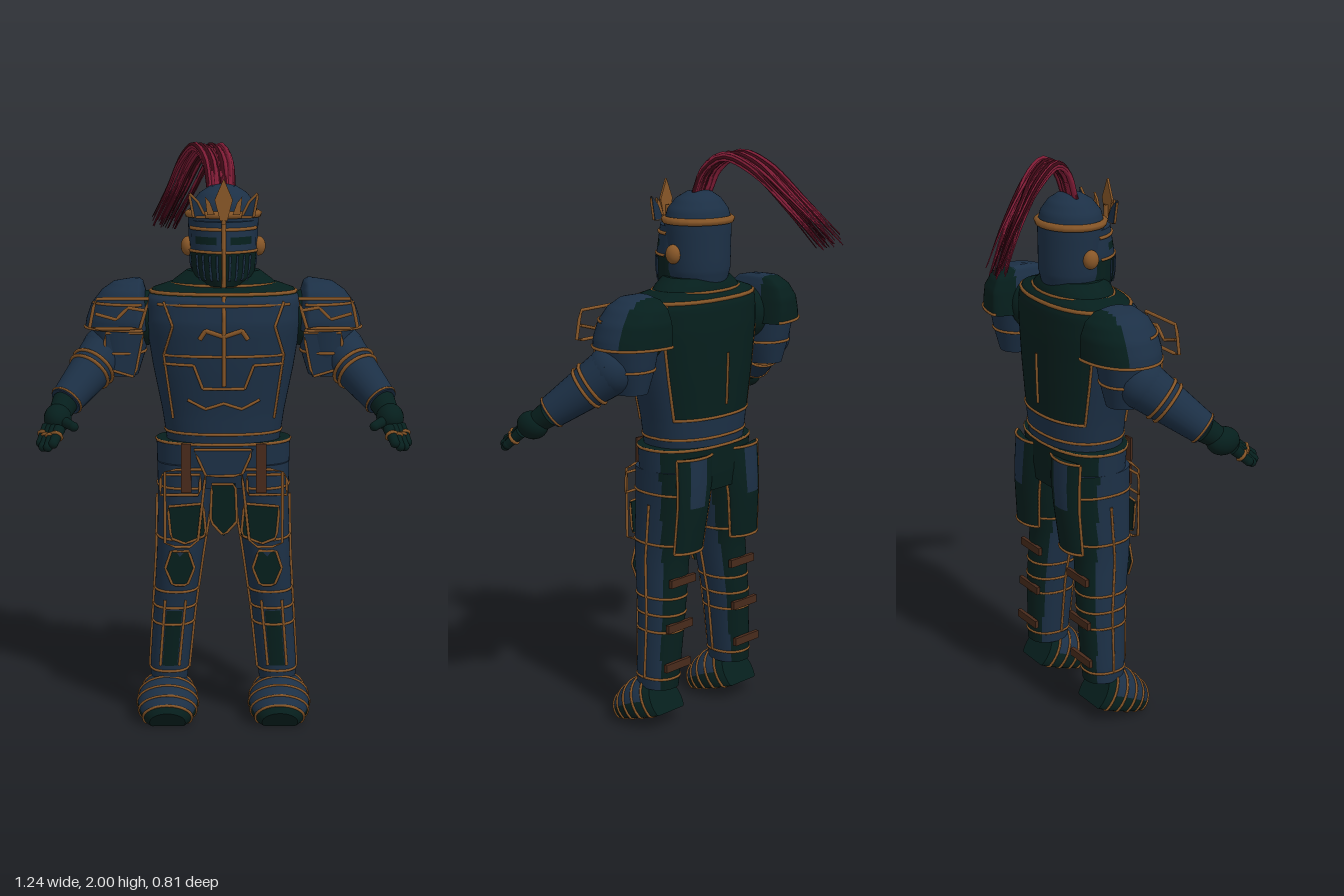
import * as THREE from 'three';

const mat = (name, color) => Object.assign(new THREE.MeshStandardMaterial({ color, side: THREE.DoubleSide }), { name });
const V = (x, y, z) => new THREE.Vector3(x, y, z);

export function createModel() {
  const model = new THREE.Group();
  const blue = mat('steel blue', 0x1c3046), green = mat('dark green', 0x061f1d), gold = mat('old gold', 0x885728);
  const brown = mat('leather brown', 0x482a1b), red = mat('crimson', 0x841d38), maroon = mat('dark maroon', 0x3e0916);

  const add = (name, geo, material) => {
    const mesh = new THREE.Mesh(geo, material);
    mesh.name = name;
    model.add(mesh);
    return mesh;
  };

  // Skin closed rings of points; pick() chooses blue (0) or green (1) per face
  function skin(name, rings, pick = () => 0, flip = false) {
    const n = rings[0].length, pos = [], faces = [[], []];
    rings.forEach(r => r.forEach(p => pos.push(p.x, p.y, p.z)));
    const tri = (k, a, b, c) => faces[k].push(a, flip ? c : b, flip ? b : c);
    for (let i = 0; i < rings.length - 1; i++) for (let j = 0; j < n; j++) {
      const a = i * n + j, b = i * n + (j + 1) % n;
      const mid = rings[i][j].clone().add(rings[i + 1][(j + 1) % n]).multiplyScalar(0.5);
      const k = pick(mid, (j + 0.5) / n * Math.PI * 2, i) ? 1 : 0;
      tri(k, a, b, b + n);
      tri(k, a, b + n, a + n);
    }
    [0, rings.length - 1].forEach(i => {
      const c = rings[i].reduce((s, p) => s.add(p), V(0, 0, 0)).divideScalar(n), base = pos.length / 3;
      [...rings[i], c].forEach(p => pos.push(p.x, p.y, p.z));
      const k = pick(c, Math.PI, i) ? 1 : 0;
      for (let j = 0; j < n; j++) {
        const a = base + j, b = base + (j + 1) % n;
        i ? tri(k, a, b, base + n) : tri(k, b, a, base + n);
      }
    });
    const g = new THREE.BufferGeometry();
    g.setAttribute('position', new THREE.Float32BufferAttribute(pos, 3));
    g.setIndex([...faces[0], ...faces[1]]);
    g.addGroup(0, faces[0].length, 0);
    g.addGroup(faces[0].length, faces[1].length, 1);
    g.computeVertexNormals();
    add(name, g, [blue, green]);
  }

  // A body profile is rows of [y, centre x, half width, half depth, centre z]
  const body = (rows, e = 1, s = 1, inner = 1) => ({ rows, e, s, inner });
  function rowAt(b, y) {
    const r = b.rows;
    let i = 0;
    while (i < r.length - 2 && y > r[i + 1][0]) i++;
    const t = THREE.MathUtils.clamp((y - r[i][0]) / (r[i + 1][0] - r[i][0]), 0, 1);
    return r[i].map((v, k) => v + (r[i + 1][k] - v) * t);
  }
  function surf(b, a, y, off = 0) {
    const [, cx, rx, rz, cz] = rowAt(b, y), sn = Math.sin(a), cs = Math.cos(a);
    const w = (rx + off) * (sn < 0 ? b.inner : 1);
    return V(b.s * (cx + w * Math.sign(sn) * Math.abs(sn) ** b.e), y, cz + (rz + off) * Math.sign(cs) * Math.abs(cs) ** b.e);
  }
  function loft(name, b, pick, n = 48) {
    const ys = [];
    b.rows.forEach((r, i) => {
      const next = b.rows[i + 1];
      for (let k = 0; k < (next ? 4 : 1); k++) ys.push(next ? r[0] + (next[0] - r[0]) * k / 4 : r[0]);
    });
    const rings = ys.map(y => Array.from({ length: n }, (_, j) => surf(b, j / n * Math.PI * 2, y)));
    skin(name, rings, pick, b.s < 0);
  }

  // Trim lines, free or following a body
  const line = (name, pts, r = 0.005, material = gold, closed = false) => add(name, new THREE.TubeGeometry(
    new THREE.CatmullRomCurve3(pts, closed, 'catmullrom', 0), pts.length * 4, r, 5, closed), material);
  function ring(name, b, y, r = 0.005, off = 0.001, from = 0, to = Math.PI * 2) {
    const closed = to - from > 6.2;
    line(name, Array.from({ length: 25 - closed }, (_, i) => surf(b, from + (to - from) * i / 24, y, off)), r, gold, closed);
  }
  function drape(name, b, pts, back = false, r = 0.005) {
    const out = [];
    pts.forEach(([x, y], i) => {
      const [x2, y2] = pts[i + 1] || [x, y];
      for (let k = 0; k < (pts[i + 1] ? 5 : 1); k++) {
        const px = x + (x2 - x) * k / 5, py = y + (y2 - y) * k / 5, [, cx, rx] = rowAt(b, py);
        const q = THREE.MathUtils.clamp((px - cx) / rx, -1, 1);
        const a = Math.asin(Math.sign(q) * Math.abs(q) ** (1 / b.e));
        out.push(surf(b, back ? Math.PI - a : a, py, 0.002));
      }
    });
    line(name, out, r);
  }
  // Thin flat plate with an optional gold edge
  function plate(name, pts, z, material, s = 1, edge = true) {
    const p = pts.map(([x, y]) => new THREE.Vector2(x * s, y));
    add(name, new THREE.ExtrudeGeometry(new THREE.Shape(p), { depth: 0.008, bevelEnabled: false }), material).position.z = z;
    if (edge) line(name + 'Edge', p.map(q => V(q.x, q.y, z + 0.006)), 0.005, gold, true);
  }
  const frame = (name, pts, z, s, r, closed = true) => line(name, pts.map(([x, y]) => V(s * x, y, z)), r, gold, closed);
  function limb(name, a, b, r0, r1, material) {
    const m = add(name, new THREE.CylinderGeometry(r1, r0, a.distanceTo(b), 24), material);
    m.position.copy(a).lerp(b, 0.5);
    m.quaternion.setFromUnitVectors(V(0, 1, 0), b.clone().sub(a).normalize());
  }
  function cuff(name, a, b, t, r, tube) {
    const m = add(name, new THREE.TorusGeometry(r, tube, 6, 24), gold);
    m.position.copy(a).lerp(b, t);
    m.quaternion.setFromUnitVectors(V(0, 0, 1), b.clone().sub(a).normalize());
  }
  function ball(name, p, sx, sy, sz, material) {
    const m = add(name, new THREE.SphereGeometry(1, 20, 14), material);
    m.position.copy(p);
    m.scale.set(sx, sy, sz);
  }

  // Cuirass with a green back panel
  const torso = body([[1.0, 0, 0.195, 0.14, 0.045], [1.1, 0, 0.21, 0.147, 0.045], [1.25, 0, 0.24, 0.16, 0.052],
    [1.4, 0, 0.264, 0.168, 0.057], [1.48, 0, 0.262, 0.16, 0.052], [1.515, 0, 0.24, 0.138, 0.04], [1.535, 0, 0.18, 0.1, 0.03]], 0.88);
  loft('cuirass', torso, (p, a) => p.y > 1.5 || (Math.cos(a) < -0.48 && p.y > 1.1), 64);
  ring('collarTrim', torso, 1.505, 0.007);
  ring('waistTrim', torso, 1.03);
  ring('backTrim', torso, 1.1, 0.005, 0.001, 2.05, 4.23);
  drape('chestLine', torso, [[-0.2, 1.3], [0.2, 1.3]]);
  drape('upperChestLine', torso, [[-0.22, 1.47], [0.22, 1.47]]);
  drape('breastPanel', torso, [[-0.2, 1.27], [-0.1, 1.27], [-0.07, 1.19], [0.07, 1.19], [0.1, 1.27], [0.2, 1.27]]);
  drape('bellyLine', torso, [[-0.12, 1.15], [-0.06, 1.12], [0, 1.14], [0.06, 1.12], [0.12, 1.15]]);
  drape('crossBar', torso, [[-0.08, 1.36], [-0.06, 1.39], [0, 1.37], [0.06, 1.39], [0.08, 1.36]], false, 0.008);
  drape('crossPost', torso, [[0, 1.2], [0, 1.5]], false, 0.008);
  drape('spineLine', torso, [[0, 1.14], [0, 1.32]], true);
  for (const s of [-1, 1]) {
    drape('breastEdge', torso, [[s * 0.2, 1.48], [s * 0.17, 1.4], [s * 0.2, 1.3], [s * 0.17, 1.08]]);
    line('backEdge', [1.5, 1.4, 1.25, 1.1].map(y => surf(torso, Math.PI - s * 1.07, y, 0.001)));
  }

  // Gorget and neck
  const gorget = body([[1.5, 0, 0.21, 0.125, 0.035], [1.545, 0, 0.165, 0.115, 0.035], [1.575, 0, 0.125, 0.1, 0.035]]);
  loft('gorget', gorget, () => true);
  ring('gorgetTrim', gorget, 1.53);

  // Helmet
  const helmet = body([[1.54, 0, 0.1, 0.1, 0.03], [1.6, 0, 0.115, 0.108, 0.025], [1.76, 0, 0.12, 0.11, 0.025],
    [1.8, 0, 0.108, 0.1, 0.025], [1.835, 0, 0.08, 0.075, 0.023], [1.857, 0, 0.045, 0.042, 0.02], [1.865, 0, 0.003, 0.003, 0.02]]);
  loft('helmet', helmet);
  ring('helmetBand', helmet, 1.765, 0.013);
  const visor = body([[1.53, 0, 0.075, 0.105, 0.075], [1.56, 0, 0.105, 0.115, 0.072], [1.645, 0, 0.112, 0.118, 0.068], [1.745, 0, 0.108, 0.108, 0.06]], 1.15);
  loft('visor', visor, (p, a) => p.y < 1.645 || (p.y > 1.668 && p.y < 1.7 && Math.abs(Math.abs(p.x) - 0.055) < 0.035 && Math.cos(a) > 0));
  ring('visorTrim', visor, 1.645, 0.005, 0.001, -1.5, 1.5);
  ring('eyeTrim', visor, 1.72, 0.006, 0.001, -1.5, 1.5);
  drape('visorRidge', visor, [[0, 1.53], [0, 1.74]], false, 0.008);
  line('browRidge', [V(0, 1.74, 0.165), V(0, 1.8, 0.165)], 0.008);
  for (const s of [-1, 1]) {
    ball('earBoss', V(s * 0.12, 1.655, 0.03), 0.024, 0.033, 0.028, gold);
    for (let i = 1; i < 5; i++) {
      const a = s * i * 0.24;
      line('visorBar', [1.55, 1.59, 1.635].map(y => surf(visor, a, y, 0.002)), 0.004, blue);
    }
    plate('crestLeaf', [[0.03, 1.77], [0.055, 1.77], [0.062, 1.83], [0.045, 1.81]], 0.155, gold, s, false);
    plate('crestSideLeaf', [[0.06, 1.76], [0.1, 1.76], [0.115, 1.84], [0.085, 1.81]], 0.13, blue, s);
  }
  plate('crestSpade', [[-0.012, 1.75], [0.012, 1.75], [0.03, 1.82], [0, 1.89], [-0.03, 1.82]], 0.168, gold, 1, false);

  // Plume of tapering strands
  let seed = 7;
  const rnd = () => (seed = (seed * 16807) % 2147483647) / 2147483647 - 0.5;
  for (let i = 0; i < 36; i++) {
    const w = rnd(), h = rnd(), l = rnd();
    const curve = new THREE.CatmullRomCurve3([[-0.005 + w * 0.09, 1.85, 0.015], [-0.015 + w * 0.1, 1.935 + h * 0.02, -0.02],
      [-0.045 + w * 0.11, 1.982 + h * 0.024, -0.085], [-0.085 + w * 0.11, 1.945 + h * 0.03, -0.17],
      [-0.145 + w * 0.1, 1.82 + h * 0.03, -0.285 + l * 0.04], [-0.205 + w * 0.09, 1.7 + h * 0.05, -0.375 + l * 0.07]].map(p => V(...p)));
    const geo = new THREE.TubeGeometry(curve, 20, 0.0085, 5), pos = geo.attributes.position, p = V(0, 0, 0);
    for (let k = 0; k < pos.count; k++) {
      const t = Math.floor(k / 6) / 20;
      p.fromBufferAttribute(pos, k).lerp(curve.getPointAt(t), 0.8 * t);
      pos.setXYZ(k, p.x, p.y, p.z);
    }
    add('plumeStrand', geo, i % 3 ? red : maroon);
  }

  // Hip armour
  const hips = body([[0.84, 0, 0.225, 0.125, 0.04], [0.9, 0, 0.228, 0.135, 0.042], [1.0, 0, 0.23, 0.14, 0.045]], 0.85);
  loft('hipArmour', hips, (p, a) => Math.cos(a) < -0.25);
  ring('hipTrim', hips, 0.995);
  plate('loinFlap', [[-0.04, 0.86], [0.04, 0.86], [0.045, 0.73], [0, 0.68], [-0.045, 0.73]], 0.178, green);
  plate('beltPlate', [[-0.1, 0.98], [0.1, 0.98], [0.06, 0.89], [-0.06, 0.89]], 0.184, blue);

  for (const s of [-1, 1]) {
    // Pauldron and upper arm guard
    ball('shoulderJoint', V(s * 0.265, 1.41, 0.03), 0.06, 0.095, 0.085, green);
    const guard = body([[1.22, 0.35, 0.06, 0.085, 0.04], [1.3, 0.35, 0.085, 0.1, 0.035], [1.385, 0.35, 0.1, 0.11, 0.03]], 0.9, s);
    loft('upperArmGuard', guard);
    ring('guardTrim', guard, 1.3);
    const pauldron = body([[1.375, 0.29, 0.183, 0.135, 0.02], [1.41, 0.29, 0.177, 0.136, 0.02], [1.46, 0.29, 0.16, 0.13, 0.015],
      [1.505, 0.29, 0.125, 0.11, 0.012], [1.533, 0.29, 0.085, 0.075, 0.01], [1.545, 0.29, 0.02, 0.02, 0.01]], 0.94, s, 0.2);
    loft('pauldron', pauldron, p => p.z < -0.035);
    ring('pauldronTrim', pauldron, 1.38, 0.005, 0.001, -0.4, 3.5);
    ring('pauldronRidge', pauldron, 1.465, 0.005, 0.001, -0.4, 1.3);
    frame('shoulderFrame', [[0.25, 1.49], [0.43, 1.49], [0.45, 1.39], [0.28, 1.39]], 0.165, s, 0.006);
    frame('shoulderFrameBrace', [[0.26, 1.45], [0.32, 1.46], [0.36, 1.42], [0.43, 1.44]], 0.165, s, 0.006, false);
    plate('armFlap', [[0.27, 1.37], [0.4, 1.37], [0.4, 1.25], [0.3, 1.22]], 0.125, blue, s);

    // Forearm
    const elbow = V(s * 0.4, 1.3, 0.05), wrist = V(s * 0.53, 1.15, 0.215);
    ball('elbow', elbow, 0.085, 0.085, 0.085, blue);
    limb('forearm', elbow, wrist, 0.084, 0.055, blue);
    cuff('elbowBand', elbow, wrist, 0.32, 0.077, 0.006);
    cuff('elbowBand', elbow, wrist, 0.42, 0.074, 0.006);
    cuff('wristBand', elbow, wrist, 0.97, 0.056, 0.004);

    // Gauntlet
    const palm = V(s * 0.553, 1.105, 0.275);
    limb('gauntletCuff', wrist, palm, 0.045, 0.035, green);
    ball('palm', palm, 0.046, 0.048, 0.06, green);
    [[0.605, 1.035, 0.345], [0.595, 1.025, 0.365], [0.578, 1.028, 0.385], [0.56, 1.04, 0.39], [0.495, 1.09, 0.355]].forEach(([x, y, z], i) => {
      const root = i < 4 ? V(s * (0.585 - i * 0.014), 1.08, 0.3 + i * 0.012) : palm, tip = V(s * x, y, z);
      limb('finger', root, tip, 0.02, 0.015, green);
      ball('fingertip', tip, 0.016, 0.016, 0.016, green);
      if (i < 4) cuff('knuckleBand', root, tip, 0.5, 0.018, 0.006);
    });

    // Leg armour, green at the back with a green shin inlay
    const leg = body([[0.14, 0.19, 0.064, 0.073, 0.045], [0.2, 0.187, 0.068, 0.077, 0.045], [0.4, 0.17, 0.072, 0.086, 0.045],
      [0.6, 0.15, 0.08, 0.1, 0.06], [0.8, 0.132, 0.094, 0.123, 0.045], [0.92, 0.119, 0.109, 0.13, 0.04]], 0.88, s);
    loft('legArmour', leg, (p, a) => p.z < (p.y > 0.6 ? 0 : -0.01) || (Math.cos(a) > 0.93 && p.y > 0.21 && p.y < 0.4), 56);
    [0.18, 0.35, 0.41, 0.47, 0.66, 0.84].forEach(y => ring('legTrim', leg, y, 0.0045));
    for (const a of [-0.45, 0.45]) line('shinLine', [0.2, 0.3, 0.44].map(y => surf(leg, a, y, 0.001)));
    for (const a of [1.55, -1.4]) line('sideSeam', [0.18, 0.4, 0.6, 0.8].map(y => surf(leg, a, y, 0.003)));
    plate('kneePlate', [[0.12, 0.62], [0.18, 0.62], [0.2, 0.56], [0.175, 0.5], [0.125, 0.5], [0.1, 0.56]], 0.152, green, s);
    plate('thighPlate', [[0.07, 0.79], [0.19, 0.78], [0.18, 0.67], [0.13, 0.65], [0.06, 0.68]], 0.168, green, s);
    frame('tassetFrame', [[0.06, 0.91], [0.2, 0.91], [0.2, 0.64], [0.09, 0.64]], 0.18, s, 0.005);
    frame('tassetInnerFrame', [[0.08, 0.89], [0.215, 0.89], [0.215, 0.82], [0.08, 0.82]], 0.17, s, 0.005);
    plate('hipStrap', [[0.11, 1.0], [0.145, 1.0], [0.145, 0.83], [0.11, 0.83]], 0.18, brown, s, false);

    // Curved rear tasset hanging straight down, with a blue pouch panel
    const arc = (y, off) => Array.from({ length: 13 }, (_, i) => {
      const p = surf(leg, Math.PI - 0.8 + i * 1.6 / 12, y, off);
      return p.setZ(p.z - (0.97 - y) * 0.09);
    });
    const tassetRows = [0.64, 0.72, 0.8, 0.88, 0.97];
    skin('rearTasset', tassetRows.map(y => [...arc(y, 0.014), ...arc(y, 0.006).reverse()]),
      (p, a, i) => !(i > 1 && i < 4 && Math.abs(Math.abs(p.x) - 0.14) < 0.035), s < 0);
    [0.64, 0.97].forEach(y => line('rearTassetTrim', arc(y, 0.014)));
    [0, 12].forEach(i => line('rearTassetSide', tassetRows.map(y => arc(y, 0.014)[i])));

    for (const y of [0.23, 0.37, 0.53]) {
      const strap = add('calfStrap', new THREE.BoxGeometry(0.125, 0.028, 0.014), brown);
      strap.position.set(s * rowAt(leg, y)[1], y, -0.042);
    }

    // Sloping plated shoe
    const shoe = [[0, 0.075, 0.13], [0.12, 0.09, 0.142], [0.3, 0.102, 0.142], [0.5, 0.106, 0.13], [0.7, 0.1, 0.11], [0.88, 0.085, 0.088], [1, 0.062, 0.066]]
      .map(([t, w, h]) => Array.from({ length: 32 }, (_, j) => {
        const a = j / 32 * Math.PI * 2, up = h * Math.max(0, 0.3 + 0.7 * Math.cos(a));
        return V(s * 0.195 - w * Math.sin(a), 0.055 - 0.055 * t + up * 0.85, -0.02 + 0.2 * t + up * 0.53);
      }));
    skin('shoe', shoe, (p, a, i) => i < 1 || i > 4 || Math.cos(a) < 0.1);
    shoe.slice(1, 6).forEach(r => line('shoeTrim', r, 0.005, gold, true));
  }
  return model;
}
